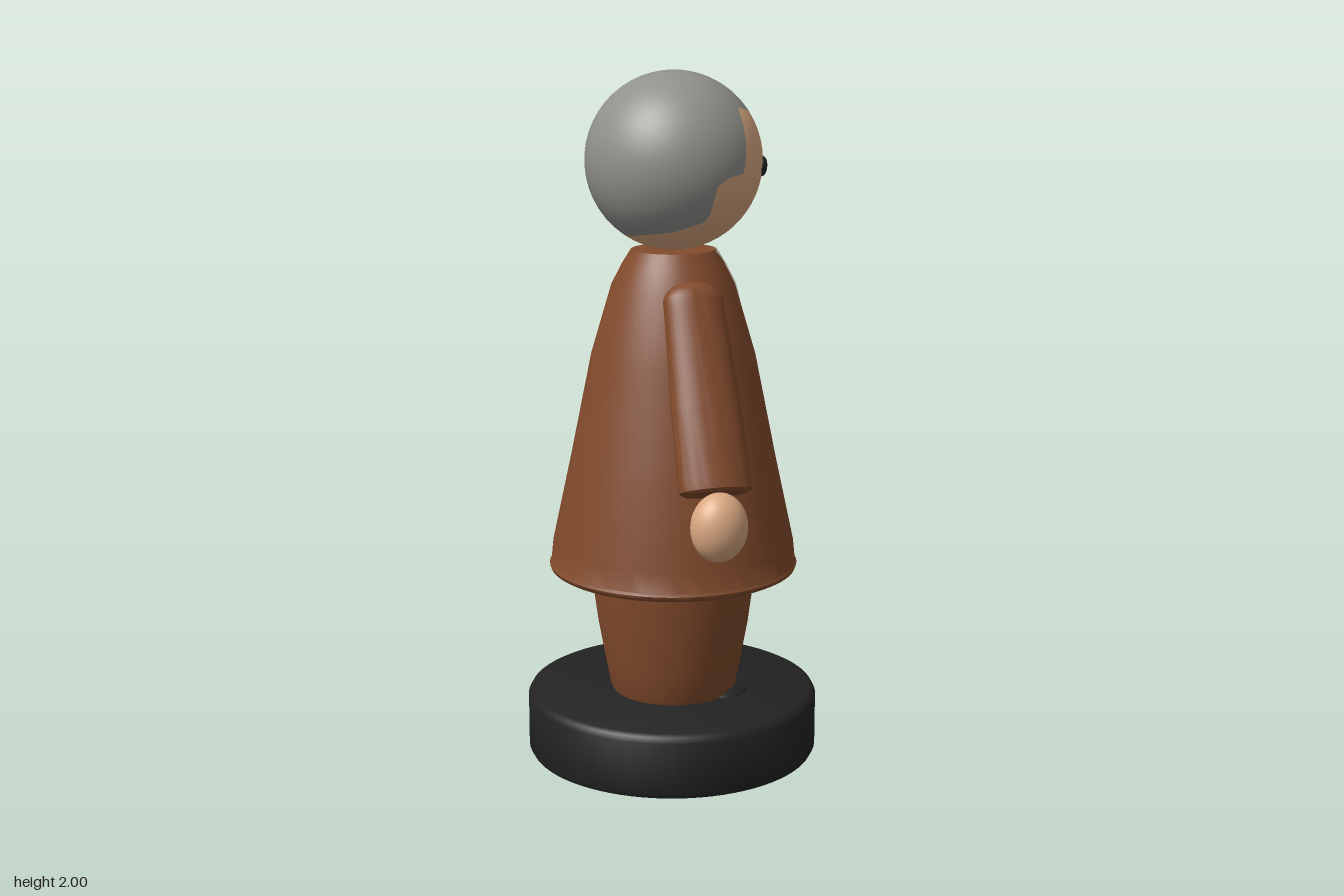
import * as THREE from 'three';
import { toCreasedNormals } from 'three/addons/utils/BufferGeometryUtils.js';

const material = (name, color) => Object.assign(new THREE.MeshStandardMaterial({ color }), { name });
const CENTRE_Z = 0.01; // the figure stands slightly off the base's centre

export function createModel() {
  const model = new THREE.Group();
  model.name = 'figurine';
  const brown = material('brown suit', 0x824b2c);
  const black = material('black', 0x232323);
  const skin = material('skin', 0xdba982);
  const grey = material('grey hair', 0x90918c);
  const cream = material('cream shirt', 0xdfd7c7);
  cream.side = THREE.DoubleSide;

  const add = (name, geometry, mat, x = 0, y = 0, z = 0, parent = model) => {
    const mesh = new THREE.Mesh(geometry, mat);
    mesh.name = name;
    mesh.position.set(x, y, z);
    parent.add(mesh);
    return mesh;
  };
  const lathe = (points, segments = 64) => toCreasedNormals(
    new THREE.LatheGeometry(points.map(([r, y]) => new THREE.Vector2(r, y)), segments), 0.7);

  // Surface patch from a rule f(u, v) -> Vector3, with its normal from n(point)
  const patch = (cols, rows, f, n) => {
    const pos = [], nor = [], index = [];
    for (let j = 0; j <= rows; j++) for (let i = 0; i <= cols; i++) {
      const p = f(i / cols, j / rows);
      pos.push(...p.toArray());
      nor.push(...n(p).toArray());
      if (i < cols && j < rows) {
        const a = j * (cols + 1) + i, b = a + cols + 1;
        index.push(a, a + 1, b, a + 1, b + 1, b);
      }
    }
    const g = new THREE.BufferGeometry();
    g.setAttribute('position', new THREE.Float32BufferAttribute(pos, 3));
    g.setAttribute('normal', new THREE.Float32BufferAttribute(nor, 3));
    g.setIndex(index);
    return g;
  };

  // Round base
  add('base', lathe([[0, 0.005], [0.405, 0.005], [0.418, 0.01], [0.426, 0.025], [0.426, 0.175],
    [0.418, 0.19], [0.405, 0.197], [0, 0.197]], 80), black);

  // Trousers and shoe tips
  add('trousers', lathe([[0.175, 0.19], [0.185, 0.21], [0.202, 0.3], [0.22, 0.4], [0.236, 0.52], [0.24, 0.58]]),
    brown, 0, 0, CENTRE_Z);
  for (const s of [1, -1]) {
    const shoe = add('shoe', new THREE.SphereGeometry(1, 24, 12), black, 0.115, 0.195, CENTRE_Z + s * 0.105);
    shoe.scale.set(0.075, 0.02, 0.06);
  }

  // Flared coat
  const coat = [[0.356, 0.59], [0.35, 0.65], [0.296, 0.9], [0.235, 1.2], [0.176, 1.4], [0.145, 1.46], [0.12, 1.5]];
  add('coat', lathe([[0, 0.565], [0.345, 0.565], [0.357, 0.572], [0.361, 0.583], ...coat, [0, 1.5]]),
    brown, 0, 0, CENTRE_Z);
  const coatRadius = y => {
    const k = Math.max(1, coat.findIndex(p => p[1] >= y));
    const [r0, y0] = coat[k - 1], [r1, y1] = coat[k];
    return r0 + (r1 - r0) * (y - y0) / (y1 - y0);
  };

  // Shirt triangle lying on the coat front
  add('shirt', patch(12, 20, (u, v) => {
    const y = 1.29 + 0.21 * v, r = coatRadius(y) + 0.004;
    const z = (1 - 2 * u) * (0.006 + 0.07 * Math.pow(v, 0.85));
    return new THREE.Vector3(Math.sqrt(r * r - z * z), y, z);
  }, p => new THREE.Vector3(p.x, 0.06, p.z).normalize()), cream, 0, 0, CENTRE_Z);

  // Arms: flattened sleeves hanging outwards, each with a hand
  const sleeve = [[0, -0.53], [0.058, -0.533], [0.066, -0.525], [0.067, -0.51], [0.064, -0.3], [0.056, -0.02]];
  for (let i = 0; i <= 8; i++) {
    const a = i / 8 * Math.PI / 2;
    sleeve.push([0.056 * Math.cos(a), 0.06 * Math.sin(a)]);
  }
  for (const s of [1, -1]) {
    const arm = new THREE.Group();
    arm.name = s > 0 ? 'armNear' : 'armFar';
    model.add(arm);
    const cloth = add('sleeve', lathe(sleeve, 40), brown, -0.003 - s * 0.018, 1.38, CENTRE_Z + s * 0.218, arm);
    cloth.scale.x = 1.55;
    cloth.rotation.set(-s * 0.425, 0, -s * 0.033);
    const hand = add('hand', new THREE.SphereGeometry(1, 32, 20), skin, -0.005 - s * 0.035, 0.81,
      CENTRE_Z * 0.5 + s * 0.47, arm);
    hand.scale.set(0.08, 0.096, 0.066);
  }

  // Head: one sphere divided at the hairline [degrees from the face, height]
  const R = 0.25, HEAD_Y = 1.75;
  const hairline = [[0, 0.13], [15, 0.132], [32, 0.14], [44, 0.152], [49, 0.148], [53, 0.11], [56.5, 0.05],
    [60, -0.02], [73, -0.03], [81, -0.05], [82.5, -0.13], [85, -0.152], [110, -0.18], [159, -0.2], [180, -0.205]];
  const lineAngle = degrees => {
    const d = Math.min(degrees, 360 - degrees);
    const k = Math.max(1, hairline.findIndex(p => p[0] >= d - 1e-6));
    const [d0, y0] = hairline[k - 1], [d1, y1] = hairline[k];
    return Math.acos((y0 + (y1 - y0) * (d - d0) / (d1 - d0)) / R);
  };
  const headPart = polar => patch(240, 20, (u, v) => {
    const azimuth = -u * Math.PI * 2;
    const t = polar(lineAngle(u * 360), v);
    return new THREE.Vector3(R * Math.sin(t) * Math.cos(azimuth), R * Math.cos(t), R * Math.sin(t) * Math.sin(azimuth));
  }, p => p.clone().normalize());
  // Rows run upwards so the faces look outwards
  add('hair', headPart((line, v) => line * (1 - v)), grey, 0, HEAD_Y, CENTRE_Z + 0.003);
  add('face', headPart((line, v) => Math.PI + (line - Math.PI) * v), skin, 0, HEAD_Y, CENTRE_Z + 0.003);

  // Eyes
  for (const s of [1, -1]) {
    const direction = new THREE.Vector3(0.2265, -0.015, s * 0.105).normalize();
    const p = direction.clone().multiplyScalar(R);
    const eye = add('eye', new THREE.SphereGeometry(1, 24, 16), black, p.x, HEAD_Y + p.y, CENTRE_Z + p.z);
    eye.scale.set(0.014, 0.028, 0.028);
    eye.quaternion.setFromUnitVectors(new THREE.Vector3(1, 0, 0), direction);
  }
  return model;
}
